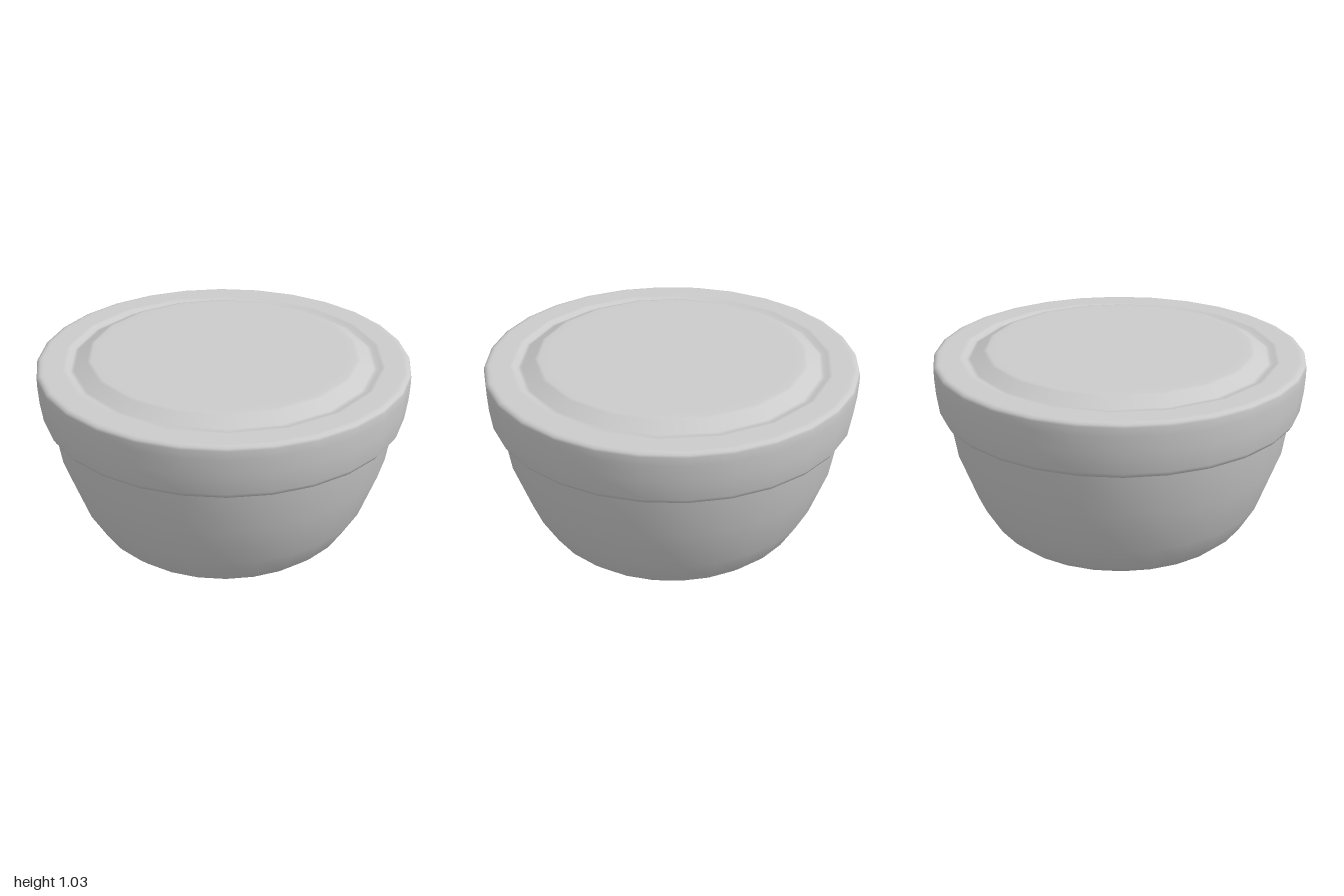
import * as THREE from 'three';

const SIDES = 28, LID_SIDES = 18;
const material = new THREE.MeshStandardMaterial({ color: 0xcccccc });

const lathe = (profile, sides) =>
  new THREE.LatheGeometry(profile.map(([r, y]) => new THREE.Vector2(r, y)), sides);

// Regular polygon outline with a corner on the y axis
function polygon(radius, sides, cy = 0, Type = THREE.Path) {
  const points = [];
  for (let i = 0; i < sides; i++) {
    const a = (i / sides) * Math.PI * 2;
    points.push(new THREE.Vector2(radius * Math.sin(a), cy + radius * Math.cos(a)));
  }
  return new Type(points);
}

export function createModel() {
  const group = new THREE.Group();
  const add = (name, geometry, y = 0, z = 0) => {
    const mesh = new THREE.Mesh(geometry, material);
    mesh.name = name;
    mesh.position.set(0, y, z);
    group.add(mesh);
  };

  // Bowl wall: recessed foot, curved side and thick collar
  add('bowl', lathe([
    [0.46, 0.06], [0.49, 0.057], [0.515, 0.035], [0.535, 0.005], [0.55, 0],
    [0.63, 0], [0.66, 0.015], [0.715, 0.065], [0.8, 0.21], [0.895, 0.47],
    [0.93, 0.685], [0.935, 0.695], [0.965, 0.705], [0.98, 0.73],
    [0.995, 0.84], [1, 0.93], [1, 0.975], [0.995, 0.988], [0.98, 0.995],
    [0.965, 0.996], [0.93, 0.996],
  ], SIDES));

  // Flat rim between the round collar and the lid groove
  const rim = polygon(0.93, SIDES, 0, THREE.Shape);
  rim.holes.push(polygon(0.86, LID_SIDES));
  add('rim', new THREE.ShapeGeometry(rim).rotateX(-Math.PI / 2), 0.996);

  // Raised centre with a shallow groove around it
  add('topDisc', lathe([
    [0.86, 0.996], [0.842, 0.995], [0.82, 0.982], [0.8, 0.985],
    [0.73, 1.026], [0.71, 1.03], [0.66, 1.03], [0, 1.03],
  ], LID_SIDES));

  // Underside with two round holes
  const holeRadius = 0.19, holeSides = 18, holeDepth = 0.35;
  const base = polygon(0.46, SIDES, 0, THREE.Shape);
  for (const z of [-0.25, 0.25]) {
    base.holes.push(polygon(holeRadius, holeSides, z));
    const wall = lathe([[holeRadius, holeDepth], [holeRadius, 0]], holeSides);
    add('holeWall', wall, 0.06, z);
    const end = new THREE.ShapeGeometry(polygon(holeRadius, holeSides, 0, THREE.Shape));
    add('holeEnd', end.rotateX(Math.PI / 2), 0.06 + holeDepth, z);
  }
  add('base', new THREE.ShapeGeometry(base).rotateX(Math.PI / 2), 0.06);

  return group;
}
